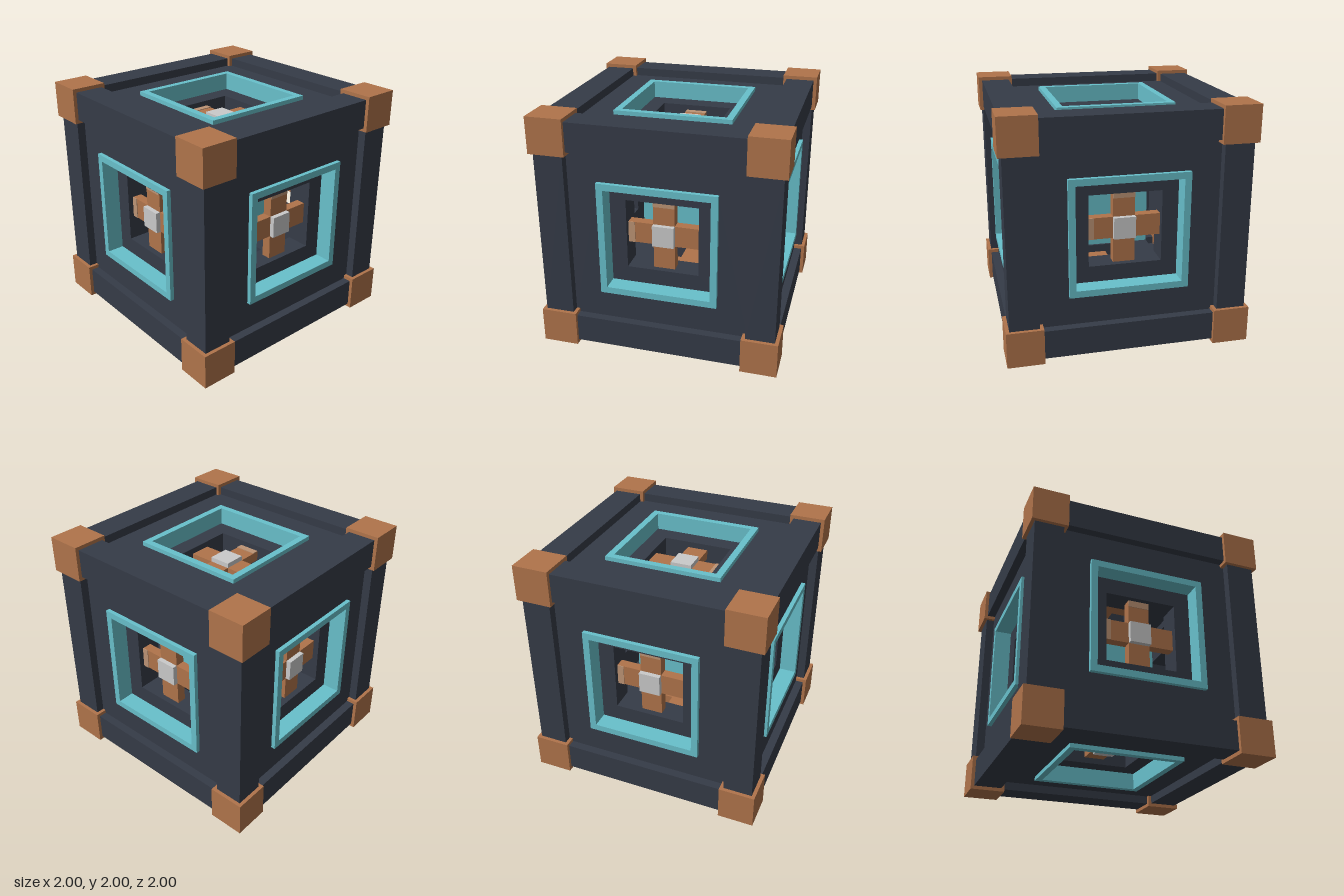
import * as THREE from 'three';

const mat = (name, color) => {
  const m = new THREE.MeshStandardMaterial({ color });
  m.name = name;
  return m;
};

export function createModel() {
  const dark = mat('dark slate', 0x353b47);
  const teal = mat('teal', 0x68c0cb);
  const copper = mat('copper', 0xb0744b);
  const paleCopper = mat('pale copper', 0xbd9475);
  const silver = mat('light grey', 0xcacaca);

  const model = new THREE.Group();
  model.name = 'cube';
  const body = new THREE.Group();
  body.name = 'body';
  body.position.y = 1;
  model.add(body);

  const add = (parent, name, geometry, material, x = 0, y = 0, z = 0) => {
    const mesh = new THREE.Mesh(geometry, material);
    mesh.name = name;
    mesh.position.set(x, y, z);
    parent.add(mesh);
    return mesh;
  };
  const box = (w, h, d) => new THREE.BoxGeometry(w, h, d);

  // Square plate with a square opening, from z = 0 to z = depth
  const squareRing = (outer, inner, depth) => {
    const square = (Type, r) => {
      const p = new Type();
      p.moveTo(-r, -r);
      p.lineTo(r, -r);
      p.lineTo(r, r);
      p.lineTo(-r, r);
      p.closePath();
      return p;
    };
    const shape = square(THREE.Shape, outer);
    shape.holes.push(square(THREE.Path, inner));
    return new THREE.ExtrudeGeometry(shape, { depth, bevelEnabled: false });
  };

  // Corner blocks
  for (const x of [-1, 1]) for (const y of [-1, 1]) for (const z of [-1, 1]) {
    add(body, 'cornerBlock', box(0.3, 0.3, 0.3), copper, x * 0.85, y * 0.85, z * 0.85);
  }

  // Edge beams along each axis
  for (const a of [-1, 1]) for (const b of [-1, 1]) {
    const p = a * 0.85, q = b * 0.85;
    add(body, 'edgeBeam', box(1.42, 0.24, 0.24), dark, 0, p, q);
    add(body, 'edgeBeam', box(0.24, 1.42, 0.24), dark, p, 0, q);
    add(body, 'edgeBeam', box(0.24, 0.24, 1.42), dark, p, q, 0);
  }

  // Inner core
  add(body, 'core', box(0.62, 0.62, 0.62), teal);

  // One side, facing +z
  const makeSide = () => {
    const side = new THREE.Group();
    side.name = 'side';
    add(side, 'panel', squareRing(0.74, 0.48, 0.1), dark, 0, 0, 0.8);
    add(side, 'rim', squareRing(0.485, 0.43, 0.145), teal, 0, 0, 0.79);
    add(side, 'innerFrame', squareRing(0.5, 0.3, 0.2), dark, 0, 0, 0.58);

    // Cross strut, hub and end plates
    add(side, 'verticalStrut', box(0.18, 0.61, 0.08), copper, 0, 0, 0.69);
    for (const s of [-1, 1]) {
      add(side, 'sideStrut', box(0.215, 0.18, 0.08), copper, s * 0.1975, 0, 0.69);
    }
    add(side, 'hub', box(0.18, 0.18, 0.05), silver, 0, 0, 0.745);
    add(side, 'endPlate', box(0.055, 0.18, 0.006), paleCopper, -0.2725, 0, 0.733);
    add(side, 'endPlate', box(0.18, 0.055, 0.006), paleCopper, 0, 0.2725, 0.733);
    return side;
  };

  // Four walls, then top and bottom
  const turns = [[0, 0], [0, 1], [0, 2], [0, 3], [-1, 0], [1, 0]];
  for (const [rx, ry] of turns) {
    const side = makeSide();
    side.rotation.set(rx * Math.PI / 2, ry * Math.PI / 2, 0);
    body.add(side);
  }
  return model;
}
